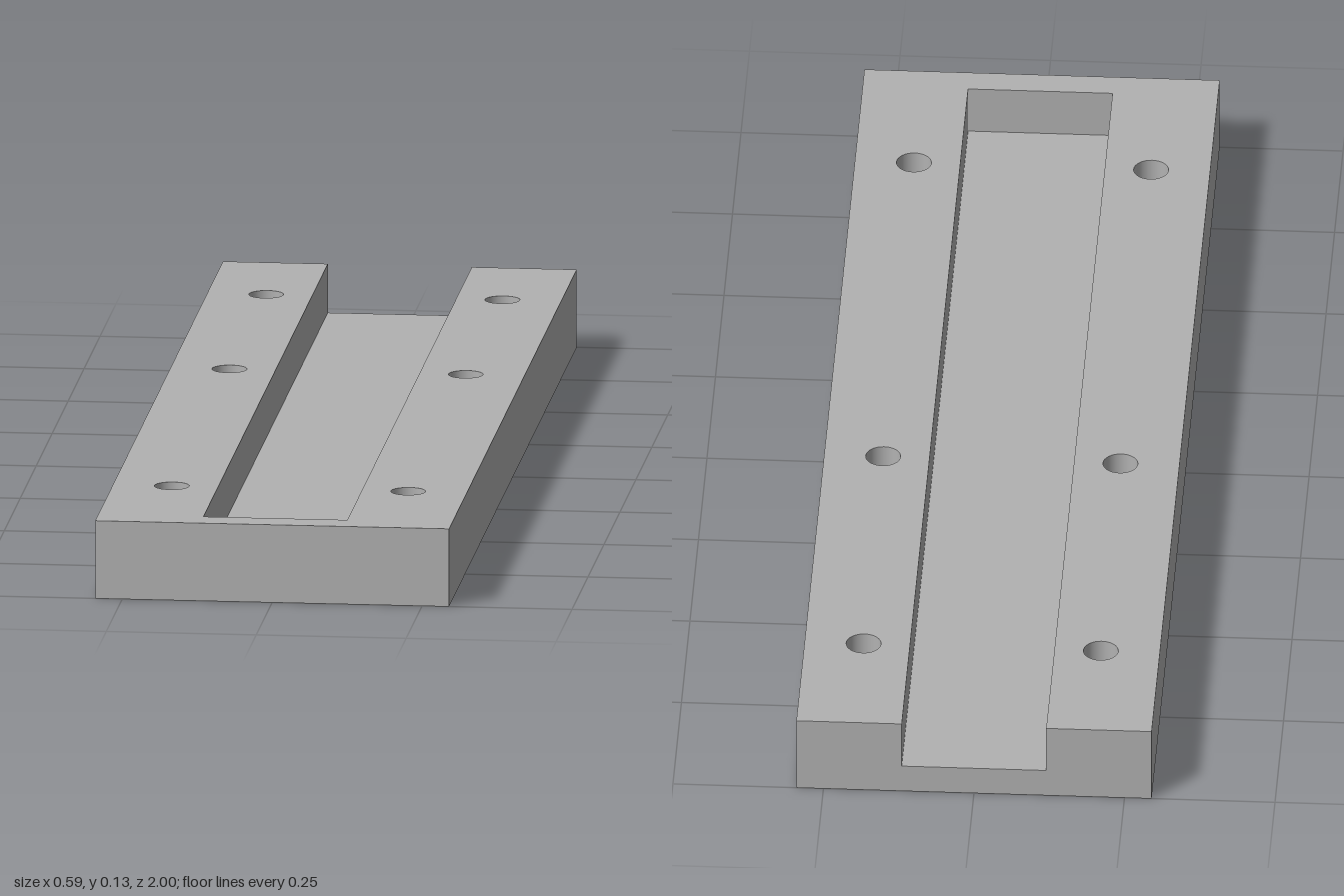
import * as THREE from 'three';
import { mergeGeometries } from 'three/addons/utils/BufferGeometryUtils.js';

const W = 0.295, L = 1, H = 0.132;            // half width, half length, height
const C = 0.12, END = 0.95, F = 0.049;        // channel half width, closed end, floor height
const HOLE_X = 0.197, HOLE_R = 0.029, HOLE_Z = [-0.757, -0.182, 0.72];

const holes = [-1, 1].flatMap((s) => HOLE_Z.map((z) => [s * HOLE_X, z]));

function outline(points) {
  return new THREE.Shape(points.map(([x, y]) => new THREE.Vector2(x, y)));
}

// Horizontal face at height y, outlined in x and z; dir is 1 facing up, -1 facing down
function level(points, y, dir, drilled) {
  const shape = outline(points.map(([x, z]) => [x, -dir * z]));
  if (drilled) {
    for (const [x, z] of holes) {
      shape.holes.push(new THREE.Path().absarc(x, -dir * z, HOLE_R, 0, Math.PI * 2, true));
    }
  }
  return new THREE.ShapeGeometry(shape, 16).rotateX(-dir * Math.PI / 2).translate(0, y, 0);
}

// Upright rectangle turned about y, centred at x, z
function wall(width, y0, y1, turn, x, z) {
  return new THREE.PlaneGeometry(width, y1 - y0).rotateY(turn).translate(x, (y0 + y1) / 2, z);
}

export function createModel() {
  const group = new THREE.Group();
  group.name = 'slottedMountingPlate';
  const grey = new THREE.MeshStandardMaterial({ color: 0xb2b2b2 });
  grey.name = 'plain grey';

  const add = (name, parts) => {
    const mesh = new THREE.Mesh(mergeGeometries(parts.map((g) => g.toNonIndexed())), grey);
    mesh.name = name;
    group.add(mesh);
  };
  const quarter = Math.PI / 2;

  // Outer body: drilled top and bottom, sides, front and notched back
  const back = outline([[-W, 0], [W, 0], [W, H], [C, H], [C, F], [-C, F], [-C, H], [-W, H]]);
  add('plateBody', [
    level([[-W, -L], [-W, L], [W, L], [W, -L], [C, -L], [C, END], [-C, END], [-C, -L]], H, 1, true),
    level([[-W, -L], [-W, L], [W, L], [W, -L]], 0, -1, true),
    wall(2 * W, 0, H, 0, 0, L),
    wall(2 * L, 0, H, quarter, W, 0),
    wall(2 * L, 0, H, -quarter, -W, 0),
    new THREE.ShapeGeometry(back).rotateY(Math.PI).translate(0, 0, -L),
  ]);

  // Channel: floor, two sides and the closed front end
  const mid = (END - L) / 2;
  add('channel', [
    level([[-C, -L], [-C, END], [C, END], [C, -L]], F, 1, false),
    wall(END + L, F, H, -quarter, C, mid),
    wall(END + L, F, H, quarter, -C, mid),
    wall(2 * C, F, H, Math.PI, 0, END),
  ]);

  // Bores of the screw holes, facing inward
  const bore = [new THREE.Vector2(HOLE_R, H), new THREE.Vector2(HOLE_R, 0)];
  add('screwHoles', holes.map(([x, z]) => new THREE.LatheGeometry(bore, 32).translate(x, 0, z)));

  return group;
}
